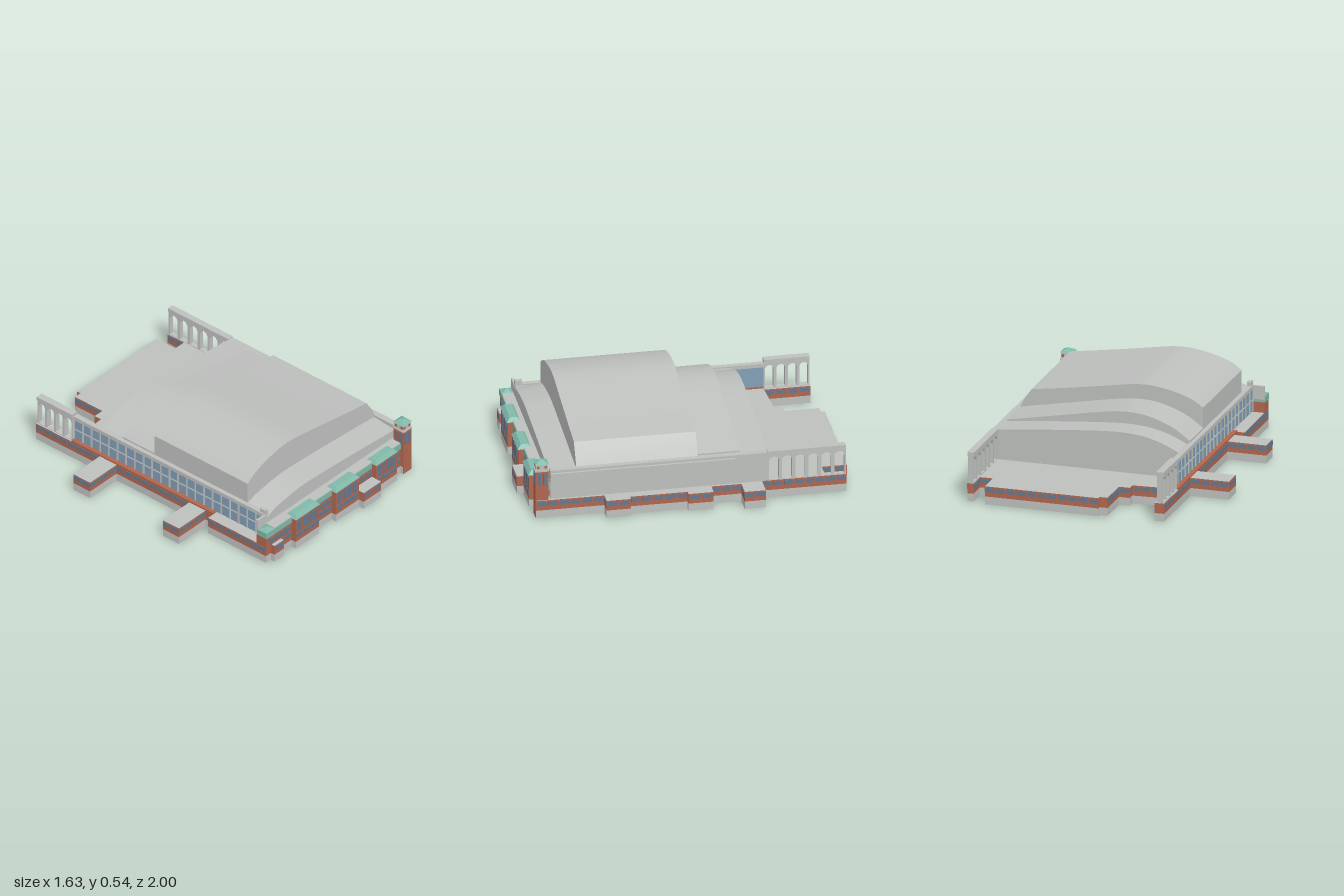
import * as THREE from 'three';
import { toCreasedNormals } from 'three/addons/utils/BufferGeometryUtils.js';

const mat = (name, color, side = THREE.FrontSide) => {
  const m = new THREE.MeshStandardMaterial({ color, side });
  m.name = name;
  return m;
};

export function createModel() {
  const root = new THREE.Group();
  const stone = mat('pale stone', 0xbec0be, THREE.DoubleSide);
  const brick = mat('red brick', 0xb0674f, THREE.DoubleSide);
  const copper = mat('green copper', 0x7fb9aa);
  const windowBlue = mat('window blue', 0x66798e);
  const glass = mat('wall glass', 0x829fb7, THREE.DoubleSide);

  const add = (name, geo, material, parent = root) => {
    const m = new THREE.Mesh(geo, material);
    m.name = name;
    parent.add(m);
    return m;
  };
  // Box given by its limits
  const box = (name, material, x0, x1, y0, y1, z0, z1) => {
    const m = add(name, new THREE.BoxGeometry(x1 - x0, y1 - y0, z1 - z0), material);
    m.position.set((x0 + x1) / 2, (y0 + y1) / 2, (z0 + z1) / 2);
    return m;
  };
  // Box whose top is drawn in by an inset
  const hipped = (name, material, x0, x1, y0, y1, z0, z1, inset) => {
    const m = box(name, material, x0, x1, y0, y1, z0, z1);
    const p = m.geometry.attributes.position;
    for (let i = 0; i < p.count; i++) if (p.getY(i) > 0) {
      p.setX(i, p.getX(i) - Math.sign(p.getX(i)) * inset);
      p.setZ(i, p.getZ(i) - Math.sign(p.getZ(i)) * inset);
    }
    m.geometry = toCreasedNormals(m.geometry, 0.3);
    return m;
  };

  // Podium outline (x, z), from the front left corner round by the +x side
  const outline = [
    [-.615, .915], [-.57, .915], [-.57, .945], [-.485, .945], [-.485, .92], [-.385, .92],
    [-.385, .955], [-.17, .955], [-.17, .92], [-.015, .92], [-.015, .955], [.195, .955],
    [.195, .995], [.355, .995], [.355, .955], [.545, .955], [.545, .92], [.62, .92],
    [.62, .94], [.70, .94], [.70, .52], [.775, .52], [.775, .37], [.745, .37],
    [.745, .015], [.775, .015], [.775, -.14], [.70, -.14], [.70, -.325], [.81, -.325],
    [.81, -.455], [.685, -.455], [.685, -.975], [.645, -.975], [.645, -.845], [.565, -.845],
    [.565, -1], [-.16, -1], [-.16, -.975], [-.21, -.975], [-.21, -.755], [-.28, -.755],
    [-.28, -.705], [-.51, -.69], [-.51, -.975], [-.57, -.975], [-.57, -.46], [-.815, -.46],
    [-.815, -.325], [-.57, -.325], [-.57, .26], [-.815, .26], [-.815, .39], [-.57, .39],
    [-.57, .45], [-.615, .45]];
  const deck = 0.115, plinth = 0.05;
  const podium = new THREE.Group();
  podium.name = 'podium';
  root.add(podium);
  outline.forEach(([ax, az], i) => {
    const [bx, bz] = outline[(i + 1) % outline.length];
    const len = Math.hypot(bx - ax, bz - az), nx = (az - bz) / len, nz = (bx - ax) / len;
    const face = new THREE.Group();
    face.name = 'podiumWall';
    face.position.set((ax + bx) / 2, 0, (az + bz) / 2);
    face.rotation.y = Math.atan2(nx, nz);
    podium.add(face);
    add('plinth', new THREE.PlaneGeometry(len, plinth), stone, face).position.y = plinth / 2;
    add('brickCourse', new THREE.PlaneGeometry(len, deck - plinth), brick, face).position.y = (deck + plinth) / 2;
    // Row of low windows
    if (len < 0.07) return;
    const n = Math.max(1, Math.round(len / 0.065)), step = len / n;
    for (let k = 0; k < n; k++)
      add('lowWindow', new THREE.BoxGeometry(step * 0.8, 0.028, 0.004), windowBlue, face)
        .position.set((k + 0.5) * step - len / 2, 0.093, 0.001);
  });
  const deckShape = new THREE.Shape(outline.map(([x, z]) => new THREE.Vector2(x, -z)));
  add('podiumDeck', new THREE.ShapeGeometry(deckShape).rotateX(-Math.PI / 2).translate(0, deck, 0), stone, podium);

  // Main hall and its side walls
  box('hall', stone, -.53, .645, deck, .28, -.485, .84);
  box('sideWall', stone, .645, .685, deck, .305, -.49, .85);
  box('sideLedge', stone, .68, .70, .268, .288, -.29, .85);
  box('brickLedge', brick, -.57, -.53, deck - .005, .125, -.69, .45);

  // Glazed wall on the -x side with its grid of bars
  box('glassWall', glass, -.54, -.534, .12, .27, -.69, .84);
  box('eaveBeam', stone, -.548, -.515, .265, .29, -.69, .84);
  box('glassRail', stone, -.544, -.538, .19, .197, -.69, .84);
  for (let i = 0; i <= 22; i++) {
    const z = -.69 + i * 1.53 / 22;
    box('glassPost', stone, -.545, -.538, .12, .27, z - .005, z + .005);
  }

  // Curved roofs: a profile swept along z
  const vault = (name, pts, base, z0, z1, tail = []) => {
    const s = new THREE.Shape();
    s.moveTo(pts[0][0], base);
    s.lineTo(...pts[0]);
    s.splineThru(pts.slice(1).map(p => new THREE.Vector2(...p)));
    tail.forEach(p => s.lineTo(...p));
    s.lineTo((tail.at(-1) || pts.at(-1))[0], base);
    const g = new THREE.ExtrudeGeometry(s, { depth: z1 - z0, bevelEnabled: false, curveSegments: 4 });
    g.translate(0, 0, z0);
    return add(name, toCreasedNormals(g, 0.35), stone);
  };
  vault('mainVault', [[-.52, .43], [-.46, .47], [-.385, .50], [-.275, .527], [-.165, .54],
    [-.06, .533], [.05, .515], [.31, .472], [.575, .433]], .27, -.065, .685, [[.62, .365], [.66, .29]]);
  vault('middleVault', [[-.52, .30], [-.42, .37], [-.28, .425], [-.15, .445], [0, .435],
    [.3, .38], [.645, .315]], .2, -.322, -.06);
  vault('rearVault', [[-.52, .27], [-.40, .325], [-.28, .358], [-.15, .37], [0, .365],
    [.3, .34], [.645, .305]], deck, -.49, -.32);
  const frontRoof = vault('frontRoof', [[-.53, .265], [-.46, .29], [-.38, .306], [-.21, .325], [0, .318],
    [.3, .3], [.645, .275]], .2, .68, .85);
  const fp = frontRoof.geometry.attributes.position;
  for (let i = 0; i < fp.count; i++) if (fp.getZ(i) < .7) fp.setY(i, fp.getY(i) + .018);
  frontRoof.geometry.computeVertexNormals();
  frontRoof.geometry = toCreasedNormals(frontRoof.geometry, 0.35);
  box('cornerFin', stone, -.615, -.53, .2, .285, .835, .85);
  box('cornerPost', stone, -.54, -.515, .26, .315, .80, .845);

  // Free-standing arcades at the back
  const arcade = (name, x0, x1, u0, u1, n) => {
    const s = new THREE.Shape([[u0, deck], [u1, deck], [u1, .31], [u0, .31]].map(p => new THREE.Vector2(...p)));
    const step = (u1 - u0) / n, r = step * 0.38;
    for (let i = 0; i < n; i++) {
      const c = u0 + (i + .5) * step, h = new THREE.Path();
      h.moveTo(c - r, deck + .004);
      h.lineTo(c + r, deck + .004);
      h.lineTo(c + r, .272 - r);
      h.absarc(c, .272 - r, r, 0, Math.PI, false);
      h.lineTo(c - r, deck + .004);
      s.holes.push(h);
    }
    const g = new THREE.ExtrudeGeometry(s, { depth: x1 - x0, bevelEnabled: false, curveSegments: 8 });
    add(name, g.rotateY(Math.PI / 2).translate(x0, 0, 0), stone);
    box(name + 'Cornice', stone, x0 - .006, x1 + .006, .288, .312, -u1, -u0);
  };
  arcade('arcadeLeft', .65, .68, .49, .972, 6);
  arcade('arcadeRight', -.56, -.525, .69, .972, 4);

  // Front range: brick wall, copper band and flat roof
  box('frontRange', brick, -.615, .64, deck, .18, .84, .92);
  box('copperBand', copper, -.617, .64, .18, .22, .845, .923);
  box('rangeRoof', stone, -.54, .64, .218, .224, .835, .92);
  hipped('cornerRoof', copper, -.617, -.54, .215, .235, .845, .923, .03);
  box('sideReturn', copper, .64, .69, .18, .215, .85, .9);
  const row = (x0, x1, z, y0, y1, n) => {
    const step = (x1 - x0) / n;
    for (let i = 0; i < n; i++) {
      const c = x0 + (i + .5) * step;
      box('frontWindow', windowBlue, c - step * .38, c + step * .38, y0, y1, z - .003, z + .003);
    }
  };
  row(-.59, -.395, .921, .128, .163, 4);
  row(-.165, -.02, .921, .128, .163, 3);
  row(.20, .35, .921, .128, .163, 3);
  row(.55, .615, .921, .128, .163, 1);

  // Projecting bays with arched windows and copper caps
  for (const [x0, x1] of [[-.385, -.17], [-.015, .195], [.355, .545]]) {
    box('bay', brick, x0, x1, deck, .215, .85, .955);
    hipped('bayCap', copper, x0 - .004, x1 + .004, .215, .24, .87, .96, .022);
    const step = (x1 - x0 - .02) / 4, r = step * .38;
    for (let i = 0; i < 4; i++) {
      const s = new THREE.Shape();
      s.moveTo(-r, .125);
      s.lineTo(r, .125);
      s.lineTo(r, .205 - r);
      s.absarc(0, .205 - r, r, 0, Math.PI, false);
      const g = new THREE.ExtrudeGeometry(s, { depth: .003, bevelEnabled: false, curveSegments: 8 });
      add('archWindow', g, windowBlue).position.set(x0 + .01 + (i + .5) * step, 0, .9545);
    }
  }

  // Corner tower
  const tx = .657, tz = .903;
  box('towerShaft', brick, tx - .037, tx + .037, 0, .31, tz - .04, tz + .04);
  box('towerCrown', stone, tx - .034, tx + .034, .31, .358, tz - .036, tz + .036);
  box('towerCornice', stone, tx - .04, tx + .04, .308, .318, tz - .043, tz + .043);
  hipped('towerCap', copper, tx - .041, tx + .041, .356, .375, tz - .042, tz + .042, .032);
  for (const s of [-1, 1]) {
    const wx = tx + s * .016, wz = tz + s * .017;
    box('towerWindow', windowBlue, wx - .01, wx + .01, .215, .295, tz - .042, tz + .042);
    box('towerWindow', windowBlue, tx - .039, tx + .039, .215, .295, wz - .01, wz + .01);
    box('crownPanel', brick, tx + s * .024 - .008, tx + s * .024 + .008, .328, .345, tz - .038, tz + .038);
    box('crownPanel', brick, tx - .036, tx + .036, .328, .345, tz + s * .024 - .008, tz + s * .024 + .008);
  }
  return root;
}
